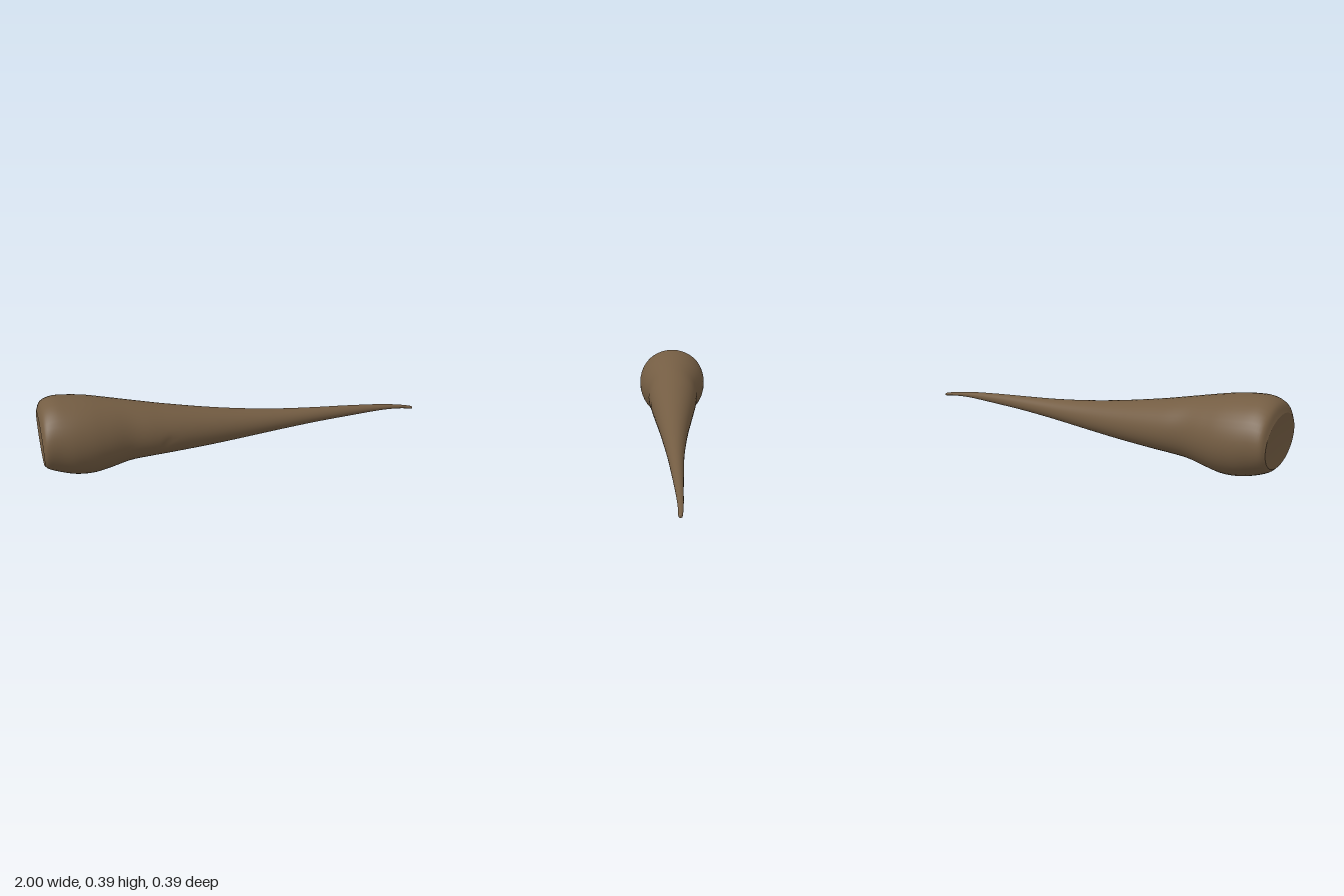
import * as THREE from 'three';

// Stations along the horn: x, top y, bottom y, back z, front z
const STATIONS = [
  [-1.0, 0.32, 0.08, -0.165, 0.165],
  [-0.98, 0.365, 0.06, -0.186, 0.183],
  [-0.93, 0.387, 0.035, -0.193, 0.19],
  [-0.86, 0.384, 0.012, -0.197, 0.195],
  [-0.78, 0.372, 0.003, -0.19, 0.187],
  [-0.7, 0.353, 0.012, -0.172, 0.168],
  [-0.6, 0.327, 0.029, -0.148, 0.14],
  [-0.5, 0.3, 0.033, -0.141, 0.131],
  [-0.4, 0.274, 0.033, -0.131, 0.118],
  [-0.2, 0.228, 0.035, -0.107, 0.09],
  [0.0, 0.189, 0.042, -0.085, 0.064],
  [0.2, 0.158, 0.051, -0.068, 0.042],
  [0.4, 0.135, 0.057, -0.056, 0.022],
  [0.6, 0.114, 0.058, -0.05, 0.005],
  [0.8, 0.089, 0.057, -0.046, -0.011],
  [0.92, 0.067, 0.047, -0.044, -0.02],
  [0.99, 0.05, 0.034, -0.04, -0.022],
  [1.0, 0.043, 0.033, -0.036, -0.025],
];
const SIDES = 40;
const RINGS = 85;

// Smooth curves through the stations share one parameter, so their x agrees
const heights = new THREE.CatmullRomCurve3(
  STATIONS.map(([x, top, bottom]) => new THREE.Vector3(x, top, bottom)), false, 'catmullrom');
const depths = new THREE.CatmullRomCurve3(
  STATIONS.map(([x, , , back, front]) => new THREE.Vector3(x, back, front)), false, 'catmullrom');

function ring(t) {
  const h = heights.getPoint(t);
  const d = depths.getPoint(t);
  const points = [];
  for (let j = 0; j < SIDES; j++) {
    const a = (j / SIDES) * Math.PI * 2;
    const p = new THREE.Vector3(
      h.x,
      (h.y + h.z) / 2 + Math.cos(a) * (h.y - h.z) / 2,
      (d.y + d.z) / 2 + Math.sin(a) * (d.z - d.y) / 2);
    // Small dimple on the front side
    if (p.z > 0) {
      p.z -= 0.006 * Math.exp(-((p.x + 0.42) ** 2 + (p.y - 0.14) ** 2) / 0.0004);
    }
    points.push(p);
  }
  return points;
}

function build(points, indices) {
  const geometry = new THREE.BufferGeometry().setFromPoints(points);
  geometry.setIndex(indices);
  geometry.computeVertexNormals();
  return geometry;
}

// Tapering body with a rounded tip
function bodyGeometry() {
  const points = [];
  const indices = [];
  for (let i = 0; i <= RINGS; i++) points.push(...ring(i / RINGS));
  for (let i = 0; i < RINGS; i++) {
    for (let j = 0; j < SIDES; j++) {
      const k = (j + 1) % SIDES;
      const a = i * SIDES + j, b = i * SIDES + k;
      indices.push(a, b, a + SIDES, b, b + SIDES, a + SIDES);
    }
  }
  const tip = points.length;
  points.push(new THREE.Vector3(1, 0.038, -0.03));
  for (let j = 0; j < SIDES; j++) {
    indices.push(RINGS * SIDES + j, RINGS * SIDES + (j + 1) % SIDES, tip);
  }
  return build(points, indices);
}

// Slightly dished face closing the thick end
function baseGeometry() {
  const points = ring(0);
  const indices = [];
  points.push(new THREE.Vector3(-0.985, 0.2, 0));
  for (let j = 0; j < SIDES; j++) indices.push(SIDES, (j + 1) % SIDES, j);
  return build(points, indices);
}

export function createModel() {
  const hornBrown = new THREE.MeshStandardMaterial({ color: 0x745d43 });
  hornBrown.name = 'hornBrown';
  const group = new THREE.Group();
  group.name = 'horn';
  const parts = { hornBody: bodyGeometry(), hornBase: baseGeometry() };
  for (const [name, geometry] of Object.entries(parts)) {
    const mesh = new THREE.Mesh(geometry, hornBrown);
    mesh.name = name;
    group.add(mesh);
  }
  return group;
}
